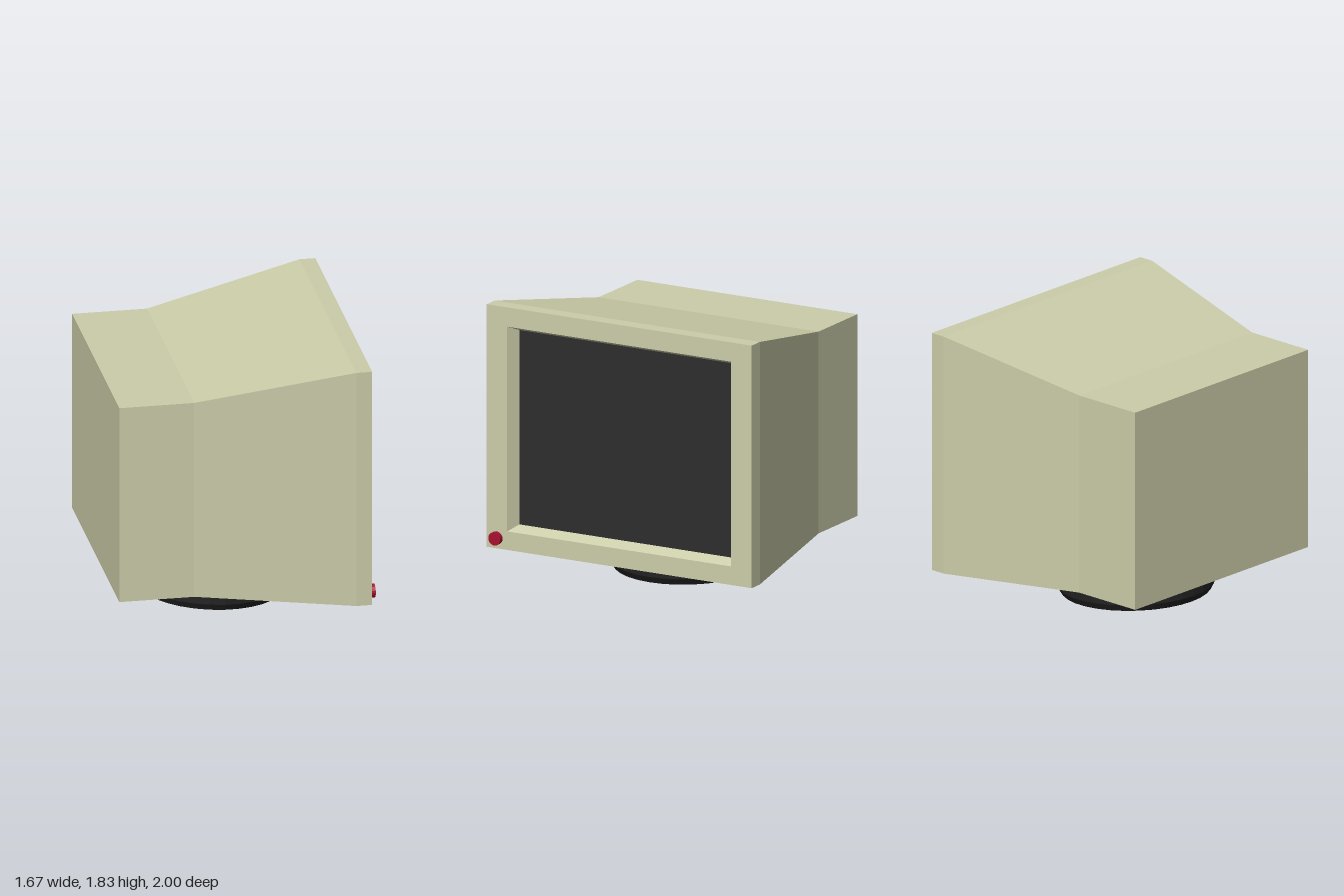
import * as THREE from 'three';

const mat = (name, color) => {
  const m = new THREE.MeshStandardMaterial({ color });
  m.name = name;
  return m;
};

// Give every face its own normal for crisp facets
const faceted = (g) => {
  const f = g.index ? g.toNonIndexed() : g;
  f.computeVertexNormals();
  return f;
};

// Four corners of a rectangular cross-section across the x axis
const ring = ([x, y0, y1, h]) => [[x, y0, h], [x, y0, -h], [x, y1, -h], [x, y1, h]];

// Skin consecutive cross-sections and close the first one
function loft(sections) {
  const rings = sections.map(ring);
  const pos = [];
  const quad = (a, b, c, d) => pos.push(...a, ...b, ...c, ...a, ...c, ...d);
  quad(...[...rings[0]].reverse());
  for (let i = 0; i < rings.length - 1; i++) {
    for (let j = 0; j < 4; j++) {
      const k = (j + 1) % 4;
      quad(rings[i][j], rings[i][k], rings[i + 1][k], rings[i + 1][j]);
    }
  }
  const g = new THREE.BufferGeometry();
  g.setAttribute('position', new THREE.Float32BufferAttribute(pos, 3));
  return faceted(g);
}

export function createModel() {
  const group = new THREE.Group();
  group.name = 'monitor';
  const beige = mat('beige plastic', 0xcccda9);
  const glass = mat('dark glass', 0x2d2d2d);
  const black = mat('black plastic', 0x222223);
  const red = mat('red button', 0xa8102e);
  const add = (name, geometry, material) => {
    const m = new THREE.Mesh(geometry, material);
    m.name = name;
    group.add(m);
    return m;
  };

  // Casing: back box, flare, front rim, then the bevelled screen recess
  add('casing', loft([
    [-0.835, 0.27, 1.63, 0.83],
    [-0.34, 0.27, 1.63, 0.83],
    [0.7, 0.195, 1.83, 1],
    [0.805, 0.195, 1.83, 1],
    [0.805, 0.32, 1.7, 0.845],
    [0.725, 0.355, 1.665, 0.8],
  ]), beige);

  // Screen at the bottom of the recess
  const screen = add('screen', new THREE.PlaneGeometry(1.6, 1.31), glass);
  screen.rotation.y = Math.PI / 2;
  screen.position.set(0.725, 1.01, 0);

  // Power button
  const button = add('powerButton', faceted(new THREE.CylinderGeometry(0.045, 0.045, 0.04, 20)), red);
  button.rotation.z = -Math.PI / 2;
  button.position.set(0.815, 0.265, 0.925);

  // Swivel foot, neck and upper disc, tilted to follow the casing
  const profile = [
    [0, 0], [0.49, 0], [0.515, 0.045], [0.515, 0.15], [0.425, 0.15],
    [0.425, 0.182], [0.503, 0.182], [0.503, 0.25], [0, 0.25],
  ].map(([r, y]) => new THREE.Vector2(r, y));
  const stand = add('swivelStand', faceted(new THREE.LatheGeometry(profile, 32)), black);
  stand.position.set(-0.08, 0.0235, 0);
  stand.rotation.z = -0.046;

  return group;
}
